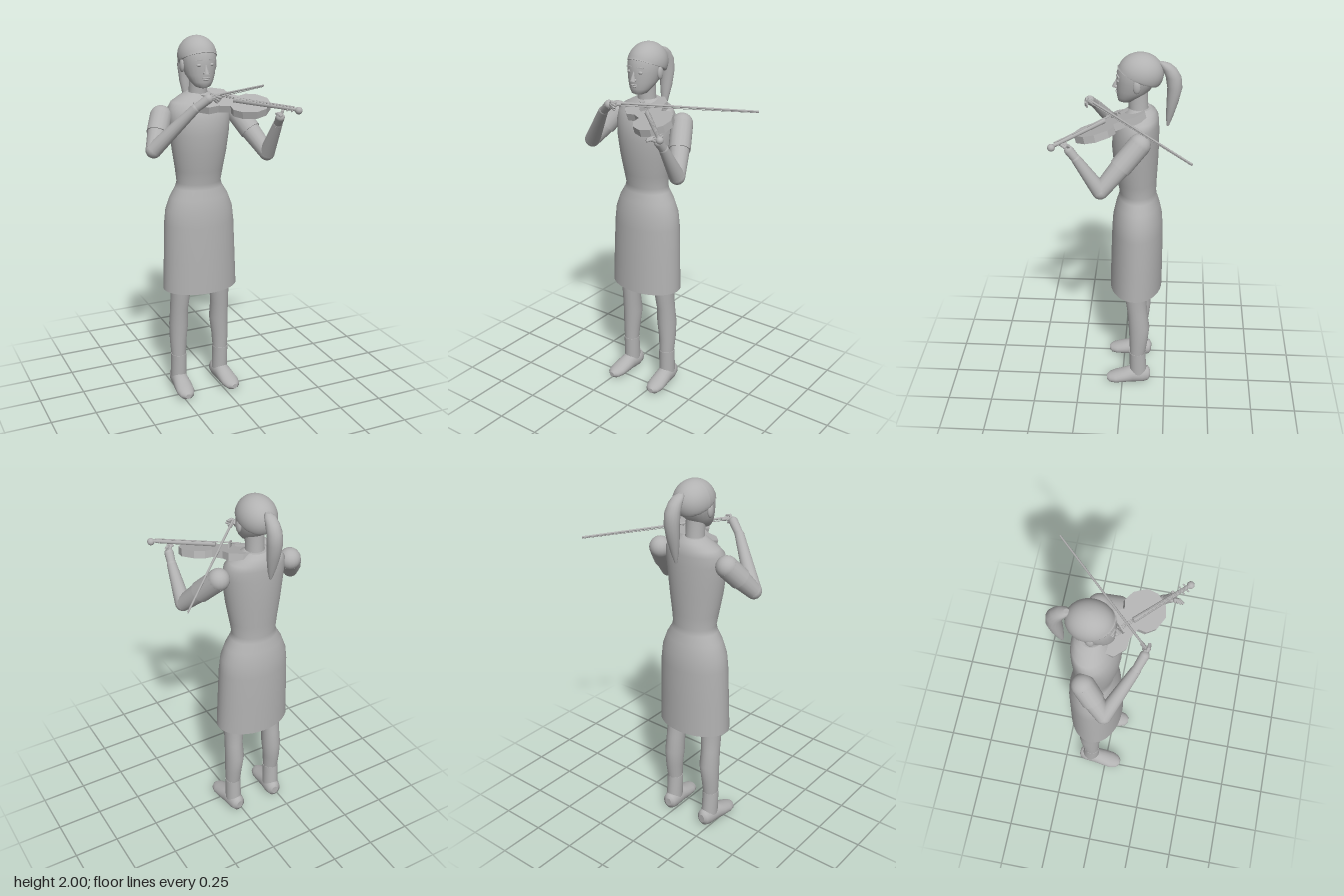
import * as THREE from 'three';

const grey = new THREE.MeshStandardMaterial({ color: 0xb2b2b2 });
grey.name = 'plain grey';
const V = (x, y, z) => new THREE.Vector3(x, y, z);

function add(parent, name, geometry, position) {
  const mesh = new THREE.Mesh(geometry, grey);
  mesh.name = name;
  if (position) mesh.position.set(...position);
  parent.add(mesh);
  return mesh;
}

// Capped skin over elliptical sections [y, centreX, centreZ, radiusX, radiusZ]
function loft(sections, n = 24) {
  const pos = [], index = [];
  const ring = ([y, cx, cz, rx, rz]) => {
    const start = pos.length / 3;
    for (let j = 0; j < n; j++) {
      const a = (j / n) * Math.PI * 2;
      pos.push(cx + rx * Math.cos(a), y, cz + rz * Math.sin(a));
    }
    return start;
  };
  sections.forEach(ring);
  for (let i = 0; i < sections.length - 1; i++) for (let j = 0; j < n; j++) {
    const a = i * n + j, b = i * n + (j + 1) % n;
    index.push(a, a + n, b, b, a + n, b + n);
  }
  for (const [s, top] of [[sections[0], false], [sections.at(-1), true]]) {
    const r = ring(s), c = pos.length / 3;
    pos.push(s[1], s[0], s[2]);
    for (let j = 0; j < n; j++) {
      const a = r + j, b = r + (j + 1) % n;
      index.push(c, top ? b : a, top ? a : b);
    }
  }
  const g = new THREE.BufferGeometry();
  g.setAttribute('position', new THREE.Float32BufferAttribute(pos, 3));
  g.setIndex(index);
  g.computeVertexNormals();
  return g;
}

// Tapered rod between two points
function rod(parent, name, a, b, ra, rb, sides = 16) {
  const dir = b.clone().sub(a);
  const mesh = add(parent, name, new THREE.CylinderGeometry(rb, ra, dir.length(), sides));
  mesh.position.copy(a).add(b).multiplyScalar(0.5);
  mesh.quaternion.setFromUnitVectors(V(0, 1, 0), dir.normalize());
  return mesh;
}

function ball(parent, name, p, rx, ry = rx, rz = rx) {
  const mesh = add(parent, name, new THREE.SphereGeometry(1, 18, 12), [p.x, p.y, p.z]);
  mesh.scale.set(rx, ry, rz);
  return mesh;
}

function makeArm(name, shoulder, elbow, wrist, knuckle, tips) {
  const arm = new THREE.Group();
  arm.name = name;
  const sleeveEnd = shoulder.clone().lerp(elbow, 0.5);
  ball(arm, 'shoulder', shoulder, 0.058);
  rod(arm, 'sleeve', shoulder, sleeveEnd, 0.058, 0.057);
  rod(arm, 'upperArm', sleeveEnd, elbow, 0.052, 0.042);
  ball(arm, 'elbow', elbow, 0.042);
  rod(arm, 'forearm', elbow, wrist, 0.042, 0.025);
  ball(arm, 'wrist', wrist, 0.025);
  rod(arm, 'palm', wrist, knuckle, 0.022, 0.024);
  ball(arm, 'knuckles', knuckle, 0.024);
  // Curled fingers and thumb, two segments each
  tips.forEach((tip, i) => {
    const mid = knuckle.clone().lerp(tip, 0.55).add(V(0, 0.012, 0.006));
    const label = i === tips.length - 1 ? 'thumb' : 'finger';
    rod(arm, label, knuckle, mid, 0.009, 0.008, 8);
    rod(arm, label, mid, tip, 0.008, 0.006, 8);
    ball(arm, label + 'Joint', mid, 0.008);
  });
  return arm;
}

function makeHead() {
  const head = new THREE.Group();
  head.name = 'head';
  add(head, 'neck', loft([[1.66, -0.1, -0.08, 0.058, 0.058], [1.72, -0.1, -0.075, 0.048, 0.05], [1.82, -0.1, -0.07, 0.048, 0.052]]));
  add(head, 'face', loft([
    [1.742, -0.1, -0.01, 0.02, 0.022], [1.75, -0.1, -0.013, 0.04, 0.042], [1.775, -0.1, -0.028, 0.06, 0.062],
    [1.81, -0.1, -0.05, 0.077, 0.086], [1.86, -0.1, -0.064, 0.088, 0.1], [1.91, -0.1, -0.07, 0.09, 0.102],
    [1.95, -0.1, -0.075, 0.075, 0.085], [1.97, -0.1, -0.08, 0.05, 0.06]]));

  // Hair cap, cut off by a plane that slopes down to the nape
  const cap = new THREE.SphereGeometry(1, 36, 28);
  cap.scale(0.1, 0.105, 0.117);
  const p = cap.attributes.position;
  for (let i = 0; i < p.count; i++) p.setY(i, Math.max(p.getY(i), 0.0 + p.getZ(i) * 0.45 - 0.02));
  cap.computeVertexNormals();
  add(head, 'hairCap', cap, [-0.1, 1.895, -0.085]);
  add(head, 'ponytail', loft([
    [1.61, -0.1, -0.228, 0.006, 0.006], [1.66, -0.1, -0.235, 0.02, 0.018], [1.74, -0.1, -0.248, 0.034, 0.03],
    [1.82, -0.1, -0.258, 0.04, 0.038], [1.88, -0.1, -0.25, 0.039, 0.04], [1.92, -0.1, -0.228, 0.034, 0.038],
    [1.945, -0.1, -0.205, 0.027, 0.03], [1.955, -0.1, -0.19, 0.012, 0.014]], 16));

  // Facial features
  for (const s of [-1, 1]) {
    ball(head, 'eye', V(-0.1 + s * 0.034, 1.863, 0.025), 0.013, 0.008, 0.008);
    const brow = add(head, 'eyebrow', new THREE.BoxGeometry(0.036, 0.006, 0.008), [-0.1 + s * 0.035, 1.888, 0.027]);
    brow.rotation.set(0, s * 0.35, -s * 0.1);
    ball(head, 'ear', V(-0.1 + s * 0.09, 1.852, -0.07), 0.012, 0.034, 0.02);
    ball(head, 'nostril', V(-0.1 + s * 0.009, 1.824, 0.038), 0.009, 0.007, 0.01);
  }
  const nose = add(head, 'nose', new THREE.ConeGeometry(0.016, 0.058, 8), [-0.1, 1.846, 0.038]);
  nose.rotation.x = -0.2;
  ball(head, 'upperLip', V(-0.1, 1.797, 0.031), 0.023, 0.005, 0.01);
  ball(head, 'lowerLip', V(-0.1, 1.788, 0.028), 0.019, 0.006, 0.01);
  return head;
}

function makeLeg(name, hipX, ankleX, turn) {
  const leg = new THREE.Group();
  leg.name = name;
  const mid = (hipX + ankleX) / 2;
  add(leg, 'bareLeg', loft([
    [0.2, ankleX, -0.088, 0.041, 0.043], [0.3, ankleX, -0.094, 0.047, 0.052], [0.4, mid, -0.096, 0.053, 0.06],
    [0.5, mid, -0.085, 0.05, 0.056], [0.6, hipX, -0.075, 0.055, 0.06], [0.75, hipX, -0.07, 0.062, 0.066]], 20));
  add(leg, 'sock', loft([[0.07, ankleX, -0.095, 0.044, 0.05], [0.215, ankleX, -0.088, 0.044, 0.046]], 20));
  // Shoe sections run from heel to toe
  const shoe = loft([
    [-0.073, 0, -0.055, 0.02, 0.025], [-0.062, 0, -0.055, 0.038, 0.045], [-0.03, 0, -0.054, 0.046, 0.054],
    [0.03, 0, -0.052, 0.046, 0.052], [0.08, 0, -0.043, 0.05, 0.042], [0.13, 0, -0.034, 0.05, 0.033],
    [0.165, 0, -0.029, 0.038, 0.026], [0.182, 0, -0.028, 0.016, 0.014]], 20);
  shoe.rotateX(Math.PI / 2);
  add(leg, 'shoe', shoe, [ankleX, 0, -0.09]).rotation.y = turn;
  return leg;
}

function makeFiddle() {
  const fiddle = new THREE.Group();
  fiddle.name = 'stringInstrument';
  // Faceted waisted outline: mirrored half profile along the neck axis
  const half = [[-0.225, 0.045], [-0.175, 0.108], [-0.1, 0.11], [-0.06, 0.075], [0, 0.06], [0.026, 0.094],
    [0.08, 0.105], [0.15, 0.082], [0.182, 0.035]];
  const outline = [...half.map(([u, v]) => [u, -v]), ...half.slice().reverse()];
  const shape = new THREE.Shape(outline.map(([u, v]) => new THREE.Vector2(u, v + 0.012)));
  add(fiddle, 'soundBox', new THREE.ExtrudeGeometry(shape, { depth: 0.038, bevelEnabled: false }), [0, 0, -0.038]);
  rod(fiddle, 'neck', V(0.0, 0, 0.012), V(0.33, 0, 0.008), 0.014, 0.01, 8);
  ball(fiddle, 'scroll', V(0.345, 0, 0.004), 0.019);
  add(fiddle, 'bridge', new THREE.BoxGeometry(0.008, 0.055, 0.03), [-0.075, 0, 0.015]);
  add(fiddle, 'tailpiece', new THREE.BoxGeometry(0.09, 0.022, 0.01), [-0.15, 0, 0.014]);
  for (let i = 0; i < 4; i++)
    rod(fiddle, 'string', V(-0.13, (i - 1.5) * 0.006, 0.024), V(0.32, (i - 1.5) * 0.004, 0.02), 0.0014, 0.0014, 5);
  for (const s of [-1, 1]) for (const u of [0.29, 0.315])
    rod(fiddle, 'tuningPeg', V(u, 0, 0.006), V(u, s * 0.024, 0.006), 0.003, 0.004, 6);

  // Slopes down along the neck and rolls towards the front
  const x = V(0.72, -0.07, 0.69).normalize();
  const z = x.clone().cross(V(0.69, 0.27, -0.72)).normalize();
  const y = z.clone().cross(x);
  fiddle.quaternion.setFromRotationMatrix(new THREE.Matrix4().makeBasis(x, y, z));
  fiddle.position.set(0.03, 1.675, 0.09);
  return fiddle;
}

function makeBow() {
  const bow = new THREE.Group();
  bow.name = 'bow';
  const grip = V(-0.12, 1.735, 0.18), tip = V(0.418, 1.657, -0.348), drop = V(0, -0.013, 0);
  rod(bow, 'bowStick', grip, tip, 0.006, 0.005, 8);
  rod(bow, 'bowHair', grip.clone().add(drop), tip.clone().add(drop.clone().multiplyScalar(0.5)), 0.0025, 0.0025, 6);
  rod(bow, 'frog', grip.clone().add(V(0, -0.007, 0)), grip.clone().lerp(tip, 0.05).add(V(0, -0.007, 0)), 0.01, 0.01, 8);
  return bow;
}

export function createModel() {
  const model = new THREE.Group();
  model.name = 'standingMusician';

  // Sleeveless bodice and knee-length skirt in one skin
  add(model, 'dress', loft([
    [0.625, -0.1, -0.072, 0.21, 0.145], [0.8, -0.1, -0.074, 0.204, 0.143], [1.0, -0.1, -0.077, 0.197, 0.139],
    [1.08, -0.1, -0.077, 0.188, 0.133], [1.15, -0.1, -0.077, 0.162, 0.118], [1.2, -0.1, -0.077, 0.132, 0.102],
    [1.23, -0.1, -0.077, 0.122, 0.098], [1.3, -0.1, -0.071, 0.132, 0.106], [1.4, -0.1, -0.065, 0.149, 0.117],
    [1.5, -0.1, -0.062, 0.162, 0.123], [1.58, -0.1, -0.065, 0.17, 0.12], [1.635, -0.1, -0.075, 0.168, 0.108],
    [1.665, -0.1, -0.085, 0.145, 0.094], [1.695, -0.1, -0.09, 0.09, 0.075], [1.71, -0.1, -0.085, 0.058, 0.058]], 36));

  model.add(makeHead());
  model.add(makeLeg('rightLeg', -0.215, -0.226, -0.08));
  model.add(makeLeg('leftLeg', 0.018, 0.03, 0.08));

  model.add(makeArm('rightArm', V(-0.305, 1.595, -0.085), V(-0.39, 1.45, 0.03), V(-0.21, 1.67, 0.15), V(-0.15, 1.72, 0.178),
    [V(-0.09, 1.725, 0.195), V(-0.095, 1.738, 0.19), V(-0.1, 1.712, 0.195), V(-0.105, 1.7, 0.19), V(-0.12, 1.725, 0.165)]));
  model.add(makeArm('leftArm', V(0.115, 1.6, -0.09), V(0.22, 1.39, 0.1), V(0.22, 1.565, 0.215), V(0.215, 1.61, 0.25),
    [V(0.18, 1.635, 0.27), V(0.18, 1.635, 0.285), V(0.18, 1.632, 0.3), V(0.185, 1.628, 0.312), V(0.235, 1.645, 0.245)]));

  model.add(makeFiddle());
  model.add(makeBow());
  return model;
}
